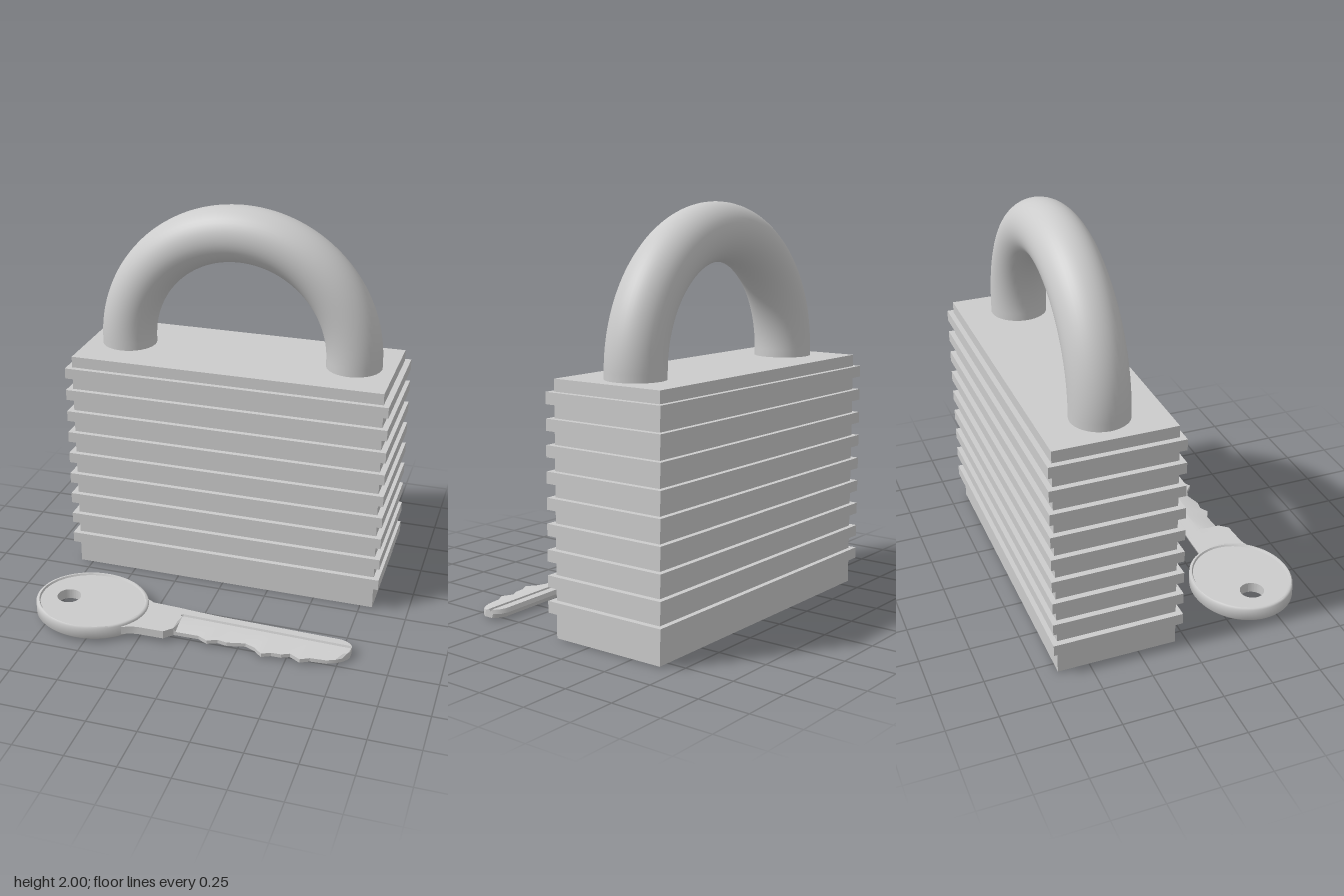
import * as THREE from 'three';
import { toCreasedNormals } from 'three/addons/utils/BufferGeometryUtils.js';

const material = new THREE.MeshStandardMaterial({ color: 0xcccccc });

function add(parent, name, geometry, x = 0, y = 0, z = 0) {
  const mesh = new THREE.Mesh(geometry, material);
  mesh.name = name;
  mesh.position.set(x, y, z);
  parent.add(mesh);
  return mesh;
}

const toVectors = (pts) => pts.map(([x, y]) => new THREE.Vector2(x, y));

// Flat plate: the shape's y becomes z, top face at y = 0, extruded downwards
function plate(shape, depth) {
  const g = new THREE.ExtrudeGeometry(shape, { depth, bevelEnabled: false, curveSegments: 48 });
  g.rotateX(Math.PI / 2);
  return toCreasedNormals(g, 0.6);
}

function createPadlock() {
  const lock = new THREE.Group();
  lock.name = 'padlock';
  lock.position.z = -0.358;
  const W = 1.63, D = 0.6, baseTop = 0.13;

  // Core block and the nine wider laminations
  add(lock, 'bodyCore', new THREE.BoxGeometry(W, 1.215 - baseTop, D), 0, (1.215 + baseTop) / 2, 0);
  for (let i = 0; i < 9; i++) {
    add(lock, 'lamination', new THREE.BoxGeometry(1.69, 0.056, 0.652), 0, 0.158 + i * 0.1213, 0);
  }

  // Bottom plate with a round opening for the lock cylinder
  const base = new THREE.Shape(toVectors([[-W / 2, -D / 2], [W / 2, -D / 2], [W / 2, D / 2], [-W / 2, D / 2]]));
  base.holes.push(new THREE.Path().absarc(0, 0, 0.224, 0, Math.PI * 2, true));
  add(lock, 'basePlate', plate(base, baseTop - 0.004), 0, baseTop, 0);

  // Lock cylinder with a stepped keyway
  const face = new THREE.Shape().absarc(0, 0, 0.222, 0, Math.PI * 2, false);
  face.holes.push(new THREE.Path(toVectors([
    [-0.13, -0.02], [-0.13, 0.018], [-0.03, 0.018], [-0.015, 0.005], [0.01, 0.022],
    [0.13, 0.01], [0.13, -0.01], [0.02, -0.005], [0, -0.02],
  ])));
  add(lock, 'lockCylinder', plate(face, baseTop), 0, baseTop, 0);

  // Shackle: half ring on two short legs
  const R = 0.605, r = 0.143, springY = 1.252;
  add(lock, 'shackleArch', new THREE.TorusGeometry(R, r, 40, 80, Math.PI), 0, springY, 0);
  for (const side of [-1, 1]) {
    add(lock, 'shackleLeg', new THREE.CylinderGeometry(r, r, 0.07, 40, 1, true), side * R, springY - 0.035, 0);
  }
  return lock;
}

// Blade lofted from cross-sections [x, back edge z, cut edge z, groove depth]
function bladeGeometry() {
  const sections = [
    [-0.33, 0.275, 0.59, 0], [-0.28, 0.305, 0.57, 0], [-0.25, 0.322, 0.565, 0], [-0.12, 0.325, 0.56, 0],
    [-0.08, 0.327, 0.517, 0], [-0.07, 0.328, 0.515, 1], [0.05, 0.333, 0.51, 1], [0.1, 0.335, 0.535, 1],
    [0.15, 0.335, 0.512, 1], [0.2, 0.335, 0.52, 1], [0.29, 0.335, 0.497, 1], [0.34, 0.335, 0.517, 1],
    [0.385, 0.335, 0.555, 1], [0.43, 0.335, 0.532, 1], [0.48, 0.335, 0.53, 1], [0.52, 0.335, 0.51, 1],
    [0.575, 0.335, 0.54, 1], [0.62, 0.335, 0.515, 1], [0.7, 0.335, 0.507, 1], [0.74, 0.335, 0.49, 1],
    [0.77, 0.345, 0.468, 1], [0.79, 0.36, 0.445, 1], [0.8, 0.375, 0.425, 1],
  ];
  const t = 0.021;
  const ring = ([, back, cut, g]) => [
    [back, 0], [back + 0.008, t], [Math.max(back + 0.009, 0.383), t],
    [0.388, t - 0.014 * g], [0.397, t - 0.014 * g], [0.402, t],
    [Math.min(0.45, cut - 0.005), t - 0.006 * g], [cut, t - 0.022 * g],
    [cut, -t], [back + 0.008, -t],
  ];
  const pos = [], index = [], n = 10;
  sections.forEach((s, i) => {
    for (const [z, y] of ring(s)) pos.push(s[0], y, z);
    if (i === 0) return;
    for (let j = 0; j < n; j++) {
      const a = (i - 1) * n + j, b = (i - 1) * n + (j + 1) % n;
      index.push(a, b, a + n, b, b + n, a + n);
    }
  });
  const tip = (sections.length - 1) * n;
  for (let j = 1; j < n - 1; j++) index.push(tip, tip + j, tip + j + 1);
  const g = new THREE.BufferGeometry();
  g.setAttribute('position', new THREE.Float32BufferAttribute(pos, 3));
  g.setIndex(index);
  return toCreasedNormals(g, 0.4);
}

function createKey() {
  const key = new THREE.Group();
  key.name = 'key';
  const cx = -0.552, cz = 0.42, a = 0.293, b = 0.256;

  // Oval bow with a ring hole
  const oval = new THREE.Shape().absellipse(0, 0, a - 0.01, b - 0.01, 0, Math.PI * 2, false);
  oval.holes.push(new THREE.Path().absarc(-0.13, 0, 0.061, 0, Math.PI * 2, true));
  add(key, 'keyBow', plate(oval, 0.054), 0, 0.027, 0);

  // Raised rounded rim around the bow
  const h = 0.036;
  const profile = toVectors([
    [a - 0.022, -0.026], [a - 0.016, -h], [a - 0.007, -h], [a, -h + 0.008], [a, h - 0.008],
    [a - 0.007, h], [a - 0.016, h], [a - 0.022, 0.026],
  ]);
  const rim = new THREE.LatheGeometry(profile, 72);
  rim.scale(1, 1, b / a);
  add(key, 'keyRim', toCreasedNormals(rim, 0.9));

  add(key, 'keyBlade', bladeGeometry(), -cx, 0, -cz);

  // The key rests on its tip and leans slightly
  key.position.set(cx, 0.054, cz);
  key.rotation.z = -0.019;
  return key;
}

export function createModel() {
  const model = new THREE.Group();
  model.name = 'padlockAndKey';
  model.add(createPadlock(), createKey());
  return model;
}
